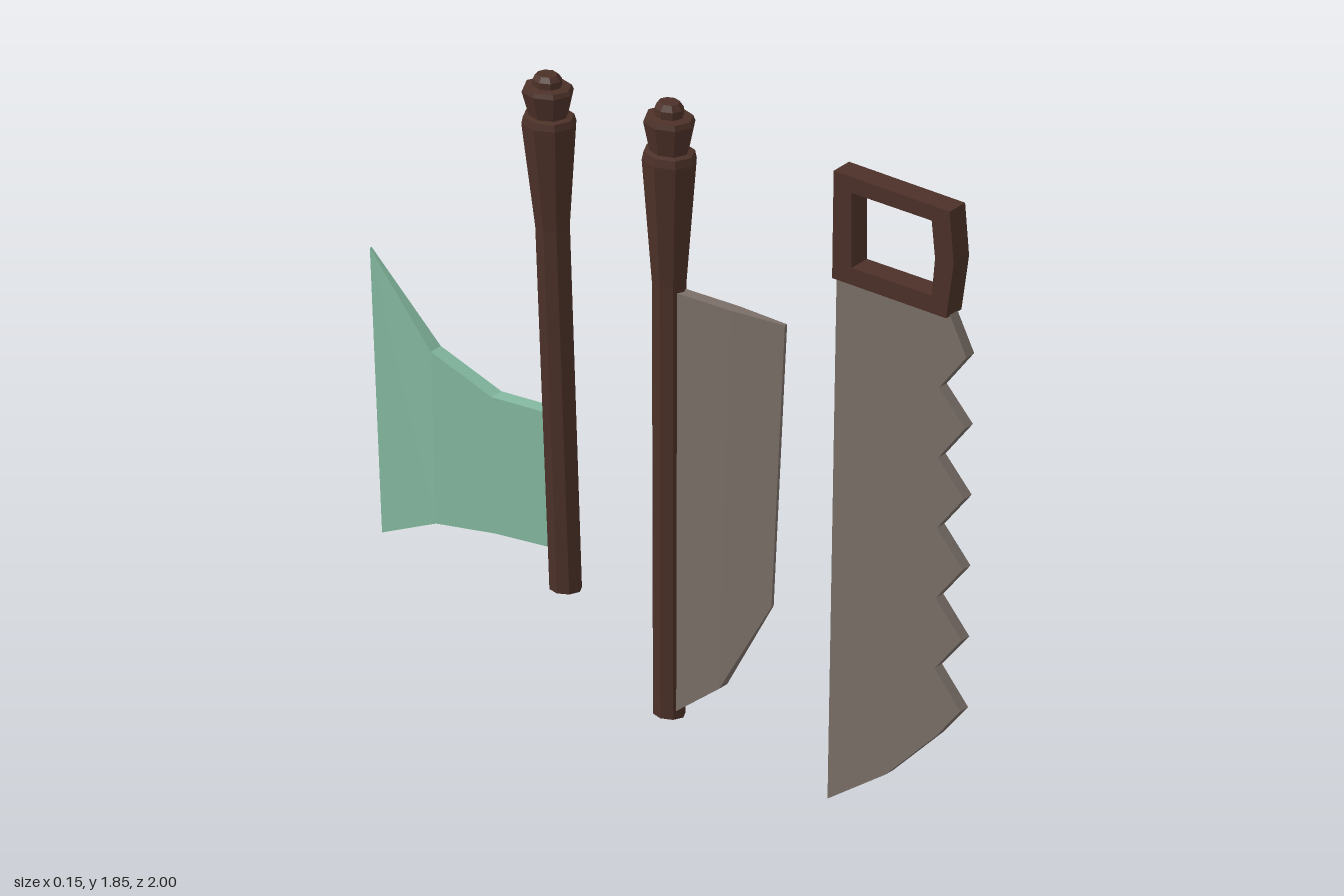
import * as THREE from 'three';

const wood = new THREE.MeshStandardMaterial({ color: 0x4c3128 });
wood.name = 'dark wood';
const steel = new THREE.MeshStandardMaterial({ color: 0x7a6f68 });
steel.name = 'grey steel';
const patina = new THREE.MeshStandardMaterial({ color: 0x84b8a0 });
patina.name = 'green metal';

function part(name, geometry, material) {
  const flat = geometry.index ? geometry.toNonIndexed() : geometry;
  flat.computeVertexNormals();
  const mesh = new THREE.Mesh(flat, material);
  mesh.name = name;
  return mesh;
}

// Flat plate whose outline lies in the (z, y) plane, centred on x
function plate(outline, hole, thickness, x) {
  const toPoints = (list) => list.map(([z, y]) => new THREE.Vector2(z, y));
  const shape = new THREE.Shape(toPoints(outline));
  if (hole) shape.holes.push(new THREE.Path(toPoints(hole)));
  return new THREE.ExtrudeGeometry(shape, { depth: thickness, bevelEnabled: false })
    .translate(0, 0, -thickness / 2)
    .rotateY(-Math.PI / 2)
    .translate(x, 0, 0);
}

// Tapered blade from sections [zTop, yTop, zBottom, yBottom, halfThickness], by rising z
function taperedBlade(sections, x) {
  const rings = sections.map(([zt, yt, zb, yb, h]) => [
    [x + h, yt, zt], [x - h, yt, zt], [x - h, yb, zb], [x + h, yb, zb],
  ]);
  const pos = [];
  const quad = (a, b, c, d) => pos.push(...a, ...b, ...c, ...a, ...c, ...d);
  for (let s = 0; s < rings.length - 1; s++) {
    for (let i = 0; i < 4; i++) {
      const j = (i + 1) % 4;
      quad(rings[s][i], rings[s][j], rings[s + 1][j], rings[s + 1][i]);
    }
  }
  quad(...[...rings[0]].reverse());
  quad(...rings[rings.length - 1]);
  const g = new THREE.BufferGeometry();
  g.setAttribute('position', new THREE.Float32BufferAttribute(pos, 3));
  return g;
}

// Turned faceted handle: shaft, flared collar, neck, bulge and end knob
function handleGeometry() {
  const profile = [
    [0, 0], [0.046, 0], [0.049, 1.26], [0.078, 1.62], [0.073, 1.643],
    [0.056, 1.647], [0.074, 1.73], [0.068, 1.745], [0.042, 1.748],
    [0.042, 1.77], [0.03, 1.787], [0, 1.787],
  ].map(([r, y]) => new THREE.Vector2(r, y));
  return new THREE.LatheGeometry(profile, 8).scale(0.86, 1, 1);
}

function createSaw() {
  const saw = new THREE.Group();
  saw.name = 'saw';
  const outline = [[0.575, 1.54], [0.545, 0], [0.735, 0.125], [0.9, 0.285]];
  // Teeth alternate between tip and gullet up the front edge
  const teeth = 6;
  for (let i = 0; i < teeth; i++) {
    const t = i / (teeth - 1);
    outline.push([0.98 + 0.02 * t, 0.38 + 1.04 * t]);
    if (i < teeth - 1) outline.push([0.895 + 0.019 * t, 0.482 + 1.03 * t]);
  }
  outline.push([0.945, 1.53]);
  saw.add(part('sawBlade', plate(outline, null, 0.034, -0.046), steel));

  const frame = [[0.945, 1.525], [0.97, 1.69], [0.957, 1.84], [0.577, 1.85], [0.572, 1.535]];
  const grip = [[0.898, 1.578], [0.909, 1.69], [0.898, 1.797], [0.636, 1.802], [0.636, 1.583]];
  saw.add(part('sawHandle', plate(frame, grip, 0.068, -0.045), wood));
  return saw;
}

function createCleaver() {
  const cleaver = new THREE.Group();
  cleaver.name = 'cleaver';
  const handle = part('cleaverHandle', handleGeometry(), wood);
  handle.position.set(0.007, 0.058, -0.025);
  cleaver.add(handle);
  cleaver.add(part('cleaverBlade', taperedBlade([
    [-0.01, 1.303, -0.01, 0.065, 0.018],
    [0.19, 1.303, 0.152, 0.187, 0.018],
    [0.358, 1.303, 0.314, 0.468, 0.005],
  ], 0.006), steel));
  return cleaver;
}

function createAxe() {
  const axe = new THREE.Group();
  axe.name = 'axe';
  // Shorter, slightly leaning handle
  const handle = part('axeHandle', handleGeometry(), wood);
  handle.scale.y = 0.832;
  handle.rotation.x = -0.041;
  handle.position.set(0.007, 0.325, -0.364);
  axe.add(handle);
  axe.add(part('axeBlade', taperedBlade([
    [-1, 1.138, -0.96, 0.318, 0.004],
    [-0.787, 0.903, -0.77, 0.406, 0.022],
    [-0.588, 0.828, -0.574, 0.433, 0.022],
    [-0.39, 0.835, -0.375, 0.446, 0.022],
  ], 0.004), patina));
  return axe;
}

export function createModel() {
  const model = new THREE.Group();
  model.name = 'toolSet';
  model.add(createSaw(), createCleaver(), createAxe());
  return model;
}
